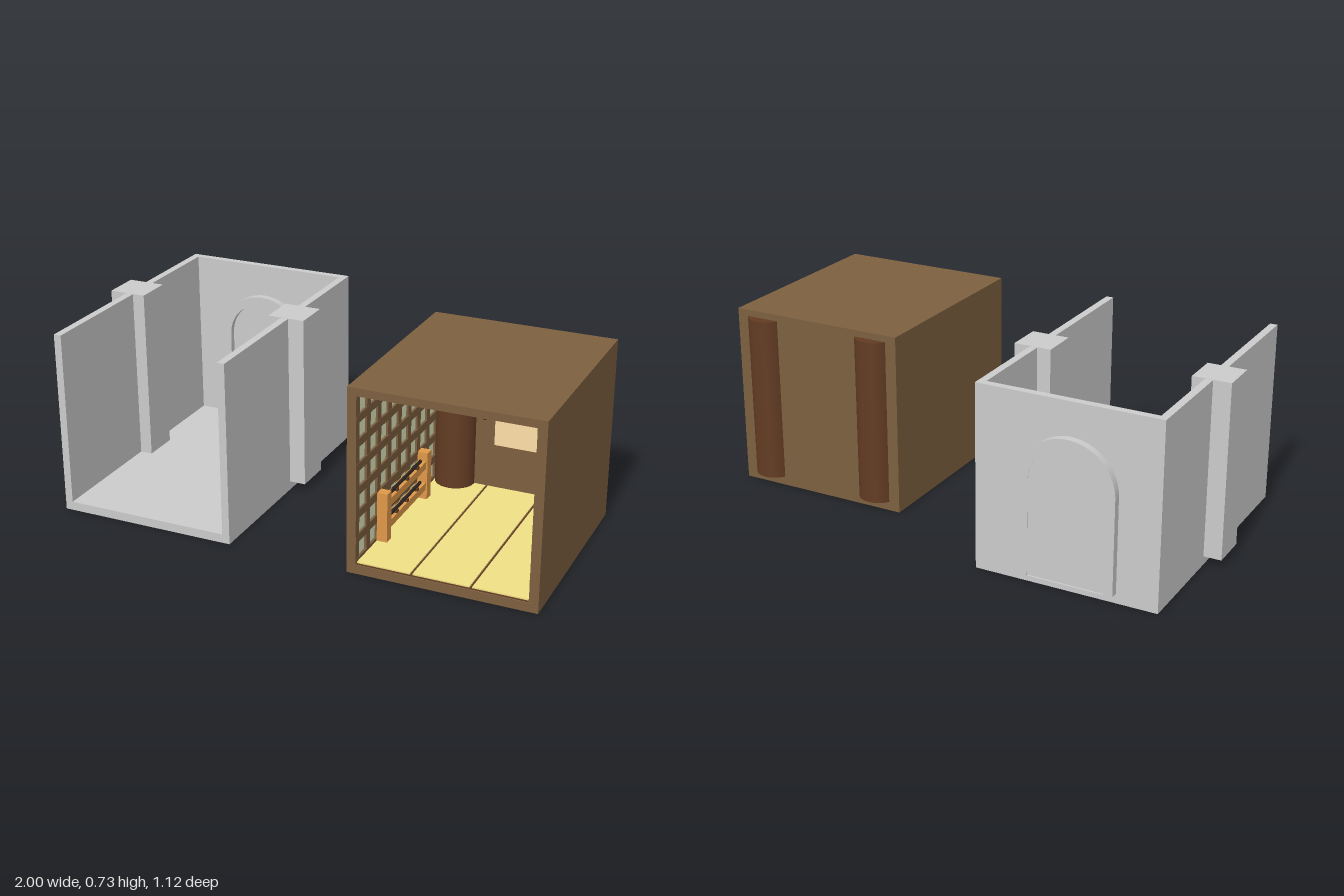
import * as THREE from 'three';

const mat = (color) => new THREE.MeshStandardMaterial({ color });
const GREY = mat(0xcccccc);
const WOOD = mat(0x7d6040);
const DARK_WOOD = mat(0x633c23);
const ORANGE = mat(0xdf9948);
const CREAM = mat(0xffdfa8);
const PANE = mat(0xe0ebc0);
const STRAW = mat(0xf0e086);
const BLACK = mat(0x2a2420);

function add(parent, name, geometry, material) {
  const mesh = new THREE.Mesh(geometry, material);
  mesh.name = name;
  parent.add(mesh);
  return mesh;
}

// Box given by its extents on each axis
function block(parent, name, material, [x0, x1], [y0, y1], [z0, z1]) {
  const mesh = add(parent, name, new THREE.BoxGeometry(x1 - x0, y1 - y0, z1 - z0), material);
  mesh.position.set((x0 + x1) / 2, (y0 + y1) / 2, (z0 + z1) / 2);
  return mesh;
}

// Outline of a round-topped doorway
function archPath(path, r, bottom, spring) {
  path.moveTo(-r, bottom);
  path.lineTo(r, bottom);
  path.lineTo(r, spring);
  path.absarc(0, spring, r, 0, Math.PI, false);
  path.lineTo(-r, bottom);
  return path;
}

function extrude(shape, depth) {
  return new THREE.ExtrudeGeometry(shape, { depth, bevelEnabled: false, curveSegments: 32 });
}

// Roofless, open-fronted hall with two pillars and an arched door
function createHall() {
  const hall = new THREE.Group();
  hall.name = 'openHall';
  block(hall, 'floor', GREY, [-0.93, -0.21], [0, 0.035], [-0.535, 0.545]);
  block(hall, 'rightWall', GREY, [-0.93, -0.9], [0.035, 0.725], [-0.535, 0.545]);
  block(hall, 'leftWall', GREY, [-0.24, -0.21], [0.035, 0.725], [-0.535, 0.545]);
  block(hall, 'backWall', GREY, [-0.9, -0.24], [0.035, 0.725], [-0.535, -0.505]);
  block(hall, 'rightPillar', GREY, [-1, -0.85], [0.035, 0.726], [-0.12, 0.03]);
  block(hall, 'leftPillar', GREY, [-0.295, -0.145], [0.035, 0.726], [-0.12, 0.03]);

  const frame = archPath(new THREE.Shape(), 0.185, 0.038, 0.41);
  // Frame legs stand on the floor, leaving the doorway open at the bottom
  frame.holes.push(archPath(new THREE.Path(), 0.15, 0.0385, 0.41));
  add(hall, 'doorFrame', extrude(frame, 0.09), GREY).position.set(-0.585, 0, -0.565);
  const door = archPath(new THREE.Shape(), 0.15, 0.042, 0.41);
  add(hall, 'door', extrude(door, 0.064), GREY).position.set(-0.585, 0, -0.564);
  return hall;
}

// Lattice screen on the inner face of the +x facing side wall
function createScreen() {
  const screen = new THREE.Group();
  screen.name = 'latticeScreen';
  const rows = 7, columns = 8, pitch = 0.0965;
  const bottom = 0.04, top = 0.695, back = -0.245, front = 0.555;
  block(screen, 'panes', PANE, [0.298, 0.302], [bottom, top], [back, front - 0.01]);
  const step = (top - bottom) / rows;
  for (let i = 0; i <= rows; i++) {
    const y = bottom + i * step;
    block(screen, 'crossBar', WOOD, [0.3, 0.311],
      [Math.max(bottom, y - 0.016), Math.min(top, y + 0.016)], [back, front]);
  }
  for (let i = 0; i <= columns; i++) {
    const z = 0.54 - i * pitch;
    block(screen, 'uprightBar', WOOD, [0.3, 0.3105], [bottom, top],
      [Math.max(back, z - 0.016), Math.min(front, z + 0.016)]);
  }
  return screen;
}

// Low display rack with two shelves holding dark rods
function createRack() {
  const rack = new THREE.Group();
  rack.name = 'displayRack';
  for (const z of [-0.05, 0.345]) {
    block(rack, 'rackPost', ORANGE, [0.311, 0.352], [0.04, 0.24], [z - 0.02, z + 0.02]);
  }
  for (const y of [0.1, 0.19]) {
    block(rack, 'rackRail', ORANGE, [0.314, 0.347], [y - 0.015, y + 0.015], [-0.03, 0.325]);
    const rod = add(rack, 'rod', new THREE.CylinderGeometry(0.007, 0.007, 0.3, 10), BLACK);
    rod.rotation.x = Math.PI / 2;
    rod.position.set(0.335, y + 0.027, 0.15);
    for (const z of [0.05, 0.15, 0.25]) {
      block(rack, 'rodHolder', DARK_WOOD, [0.324, 0.347], [y + 0.015, y + 0.026], [z - 0.008, z + 0.008]);
    }
  }
  return rack;
}

// Mirrors a group of parts across the middle of the cabin
function mirrored(source, axisX) {
  const copy = source.clone(true);
  copy.traverse((o) => {
    if (!o.isMesh) return;
    o.position.x = 2 * axisX - o.position.x;
  });
  return copy;
}

// Closed wooden cabin, open at the front
function createCabin() {
  const cabin = new THREE.Group();
  cabin.name = 'woodenCabin';
  const depth = [-0.28, 0.555], mid = 0.6375;
  block(cabin, 'floor', WOOD, [0.275, 1], [0, 0.036], depth);
  block(cabin, 'roof', WOOD, [0.275, 1], [0.695, 0.725], depth);
  block(cabin, 'rightWall', WOOD, [0.275, 0.3], [0.036, 0.695], depth);
  block(cabin, 'leftWall', WOOD, [0.975, 1], [0.036, 0.695], depth);
  block(cabin, 'backWall', WOOD, [0.3, 0.975], [0.036, 0.695], [-0.28, -0.245]);

  // Round columns pushed through the back wall
  for (const side of [-1, 1]) {
    const column = add(cabin, 'column', new THREE.CylinderGeometry(0.08, 0.08, 0.663, 32), DARK_WOOD);
    column.position.set(mid + side * 0.248, 0.3675, -0.24);
  }

  // Three floor mats over a dark seam layer
  block(cabin, 'matSeams', DARK_WOOD, [0.305, 0.97], [0.036, 0.039], [-0.245, 0.55]);
  for (const [x0, x1] of [[0.311, 0.517], [0.527, 0.743], [0.753, 0.964]]) {
    block(cabin, 'floorMat', STRAW, [x0, x1], [0.038, 0.044], [-0.245, 0.545]);
  }

  // Hanging panel and small peg on the back wall
  block(cabin, 'wallPanel', CREAM, [0.55, 0.725], [0.228, 0.56], [-0.245, -0.237]);
  add(cabin, 'wallPeg', new THREE.SphereGeometry(0.009, 12, 8), DARK_WOOD).position.set(0.506, 0.335, -0.24);

  for (const part of [createScreen(), createRack()]) {
    cabin.add(part, mirrored(part, mid));
  }
  return cabin;
}

export function createModel() {
  const model = new THREE.Group();
  model.name = 'twoRooms';
  model.add(createHall(), createCabin());
  return model;
}
